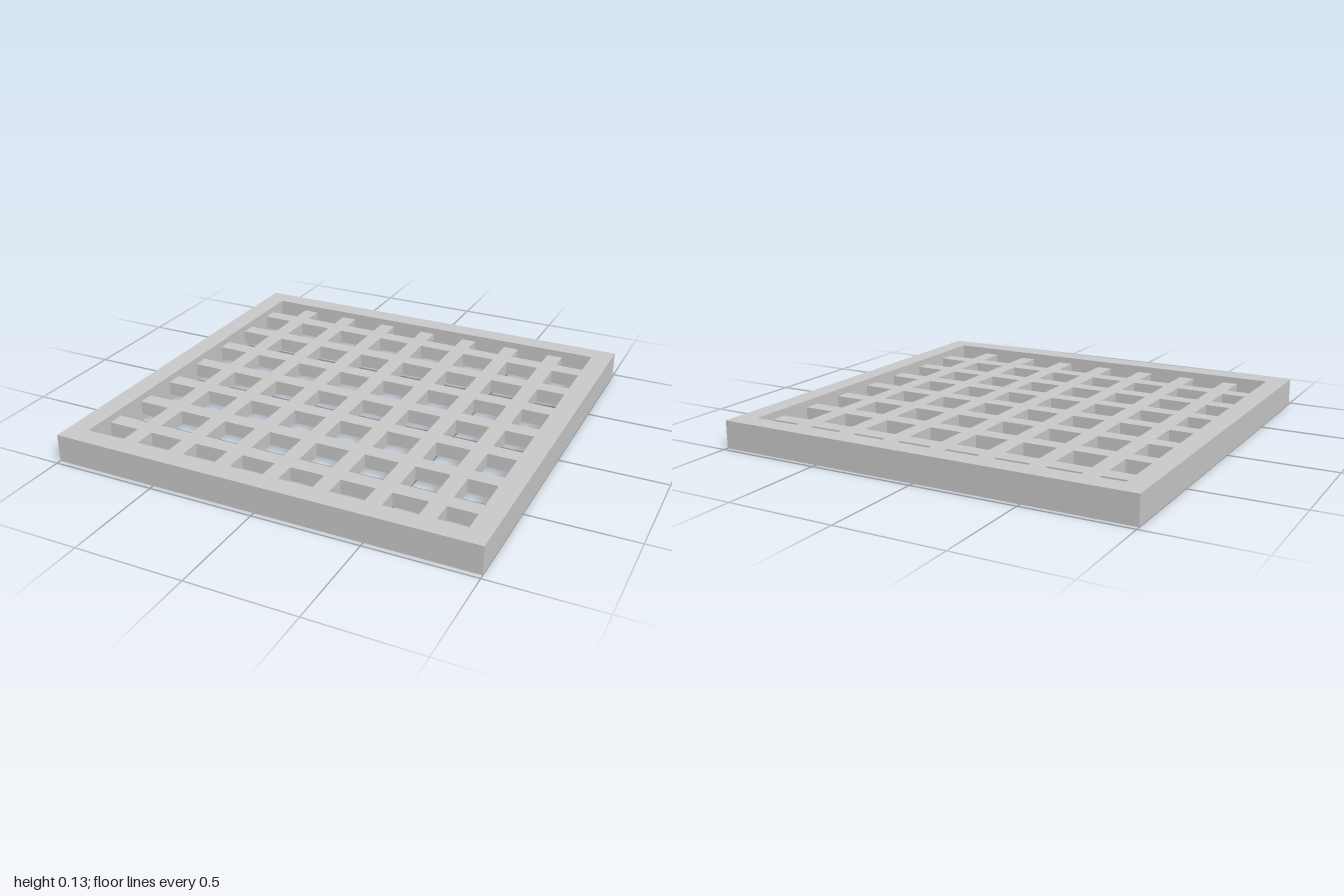
import * as THREE from 'three';

const HEIGHT = 0.13, HALF_X = 1, HALF_Z = 0.976, RIM = 0.097;
const BAR = 0.076, BAR_T = 0.066, PITCH = 0.2378, COUNT = 7;

export function createModel() {
  const group = new THREE.Group();
  const material = new THREE.MeshStandardMaterial({ color: 0xcccccc, flatShading: true });
  const inX = HALF_X - RIM, inZ = HALF_Z - RIM;

  const rectangle = (target, x0, x1, y0, y1) =>
    target.moveTo(x0, y0).lineTo(x1, y0).lineTo(x1, y1).lineTo(x0, y1).closePath();

  // Extrudes a flat outline upwards from the given height
  const addSlab = (name, shape, depth, y) => {
    const geometry = new THREE.ExtrudeGeometry(shape, { depth, bevelEnabled: false });
    geometry.rotateX(-Math.PI / 2).translate(0, y, 0);
    const mesh = new THREE.Mesh(geometry, material);
    mesh.name = name;
    group.add(mesh);
  };

  // Outer frame with one large opening
  const frame = rectangle(new THREE.Shape(), -HALF_X, HALF_X, -HALF_Z, HALF_Z);
  frame.holes.push(rectangle(new THREE.Path(), -inX, inX, -inZ, inZ));
  addSlab('frame', frame, HEIGHT, 0);

  // Openings between bars; the cross bars sit slightly towards the back
  const gaps = (half, middle) => {
    const list = [];
    let start = -half;
    for (let i = 0; i < COUNT; i++) {
      const c = middle + (i - (COUNT - 1) / 2) * PITCH;
      list.push([start, c - BAR / 2]);
      start = c + BAR / 2;
    }
    list.push([start, half]);
    return list;
  };

  // Lattice of crossing bars, thinner than the frame and set inside it
  const lattice = rectangle(new THREE.Shape(), -inX - 0.01, inX + 0.01, -inZ - 0.01, inZ + 0.01);
  for (const [x0, x1] of gaps(inX, 0))
    for (const [y0, y1] of gaps(inZ, 0.025))
      lattice.holes.push(rectangle(new THREE.Path(), x0, x1, y0, y1));
  addSlab('lattice', lattice, BAR_T, (HEIGHT - BAR_T) / 2);

  return group;
}
